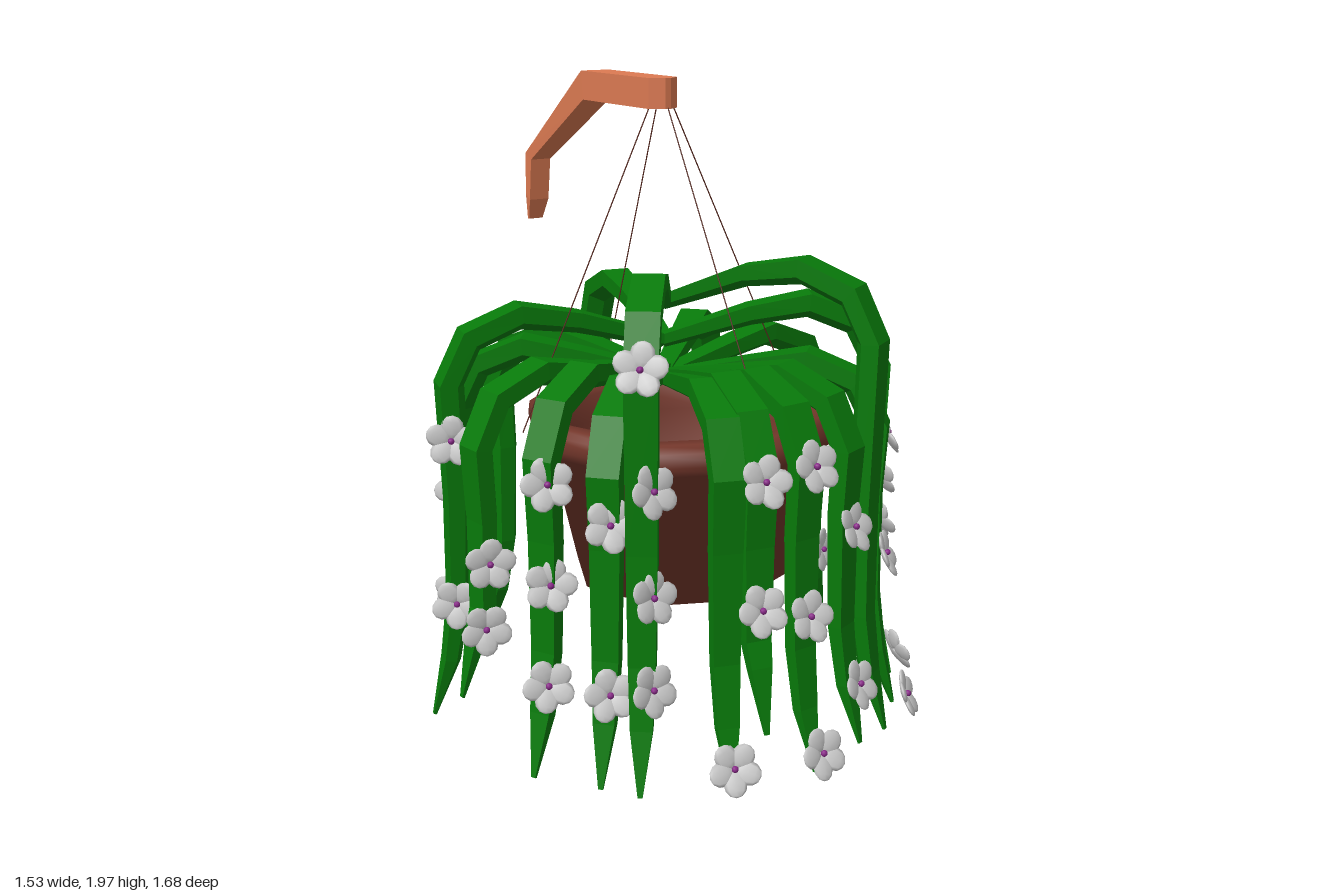
import * as THREE from 'three';
import { toCreasedNormals } from 'three/addons/utils/BufferGeometryUtils.js';

const mat = (color, extra = {}) => new THREE.MeshStandardMaterial({ color, ...extra });
const leafMat = mat(0x087a0a, { flatShading: true });
const hookMat = mat(0xdc7a52, { flatShading: true });
const potMat = mat(0x74372b, { side: THREE.DoubleSide });
const wireMat = mat(0x5a2a20);
const petalMat = mat(0xcccccc);
const centreMat = mat(0x8a2a8a);

function addMesh(parent, name, geometry, material) {
  const mesh = new THREE.Mesh(geometry, material);
  mesh.name = name;
  parent.add(mesh);
  return mesh;
}

// Skin a list of rings (counter-clockwise seen from the far end) and cap both ends
function loft(rings) {
  const n = rings[0].length, last = (rings.length - 1) * n, index = [];
  for (let j = 0; j < rings.length - 1; j++) {
    for (let i = 0; i < n; i++) {
      const a = j * n + i, b = j * n + (i + 1) % n;
      index.push(a, b, b + n, a, b + n, a + n);
    }
  }
  for (let i = 1; i < n - 1; i++) index.push(0, i + 1, i, last, last + i, last + i + 1);
  const geo = new THREE.BufferGeometry();
  geo.setAttribute('position', new THREE.Float32BufferAttribute(rings.flat(2), 3));
  geo.setIndex(index);
  const flat = geo.toNonIndexed();
  flat.computeVertexNormals();
  return flat;
}

// Centre line of a leaf in its own plane, as [radius, height]
const leafPath = (R, peak, tipY) => [
  [0, 1.08 + (peak - 1.2) * 0.8], [0.36 * R, peak - 0.07], [0.6 * R, peak - 0.04],
  [0.8 * R, peak - 0.1], [0.885 * R, peak - 0.23], [0.87 * R, 0.75],
  [0.88 * R, 0.4 + tipY / 3], [0.92 * R, 0.18 + tipY], [R, tipY],
];
const halfWidths = [0.026, 0.038, 0.046, 0.048, 0.047, 0.044, 0.039, 0.032, 0.007];

function leafGeometry(path) {
  return loft(path.map(([r, y], i) => {
    const p = path[Math.max(i - 1, 0)], q = path[Math.min(i + 1, path.length - 1)];
    const len = Math.hypot(q[0] - p[0], q[1] - p[1]);
    const nz = -(q[1] - p[1]) / len, ny = (q[0] - p[0]) / len;
    const w = halfWidths[i], h = w * 0.88;
    // flat top, short sides, shallow keel below
    return [[w, h], [-w, h], [-w, -0.3 * h], [0, -h], [w, -0.3 * h]]
      .map(([s, d]) => [s, y + ny * d, r + nz * d]);
  }));
}

// Radius of the hanging part of a leaf at height y
function radiusAt(path, y) {
  for (let i = 3; i < path.length; i++) {
    const [r0, y0] = path[i - 1], [r1, y1] = path[i];
    if (y <= y0 && y >= y1) return r0 + (r1 - r0) * (y0 - y) / (y0 - y1);
  }
  return path[path.length - 1][0];
}

const petalGeo = new THREE.SphereGeometry(1, 8, 6);
const centreGeo = new THREE.SphereGeometry(0.01, 8, 6);
function makeFlower() {
  const flower = new THREE.Group();
  flower.name = 'flower';
  for (let i = 0; i < 5; i++) {
    const arm = new THREE.Group();
    arm.rotation.z = i * Math.PI * 2 / 5;
    const petal = addMesh(arm, 'petal', petalGeo, petalMat);
    petal.scale.set(0.035, 0.038, 0.009);
    petal.position.set(0, 0.041, 0.007);
    petal.rotation.x = 0.2;
    flower.add(arm);
  }
  addMesh(flower, 'flowerCentre', centreGeo, centreMat).position.z = 0.011;
  return flower;
}

// tip x, tip z, peak height, tip height, flowers as [height, sideways shift, turn]
const leaves = [
  [0.12, -0.69, 1.34, 0.21, [[0.7, 0.055], [0.48, 0.055]]],
  [0.51, -0.49, 1.2, 0.05, [[0.75, -0.05], [0.09, -0.05]]],
  [0.73, -0.1, 1.19, 0.05, [[0.35, -0.05]]],
  [0.66, 0.36, 1.34, 0.05, [[0.88, 0], [0.72, 0.07, 0.4], [0.57, 0.07, 0.4], [0.1, 0.07, 0.3]]],
  [0.53, 0.53, 1.19, 0.05, [[0.55, 0], [0.08, 0]]],
  [0.39, 0.66, 1.49, 0.05, []],
  [0.27, 0.69, 1.19, 0.05, [[0.73, 0], [0.24, 0]]],
  [0.05, 0.76, 1.2, 0.05, [[0.97, 0], [0.52, 0], [0.12, 0]]],
  [-0.12, 0.75, 1.2, 0.21, [[0.95, 0], [0.57, 0]]],
  [-0.23, 0.74, 1.19, 0.05, [[0.14, 0]]],
  [-0.46, 0.62, 1.49, 0.05, [[1.28, 0], [0.94, 0.03], [0.63, 0.03], [0.36, 0.03]]],
  [-0.53, 0.52, 1.19, 0.05, [[0.83, 0.02], [0.33, 0.02]]],
  [-0.66, 0.36, 1.22, 0.05, [[0.93, 0.03], [0.63, 0.03], [0.33, 0.03]]],
  [-0.75, 0.08, 1.2, 0.21, [[0.63, 0.05], [0.43, 0.05]]],
  [-0.74, -0.16, 1.34, 0.05, [[0.95, 0.05], [0.43, 0.05]]],
  [-0.59, -0.42, 1.2, 0.05, [[0.7, 0.05], [0.35, 0.05]]],
  [-0.32, -0.64, 1.2, 0.05, [[0.75, 0.02], [0.38, 0.02]]],
];

export function createModel() {
  const model = new THREE.Group();
  model.name = 'hangingPlant';

  // Eight-sided pot with a rounded rim and a hollow inside
  const profile = [[0, 0.48], [0.335, 0.48], [0.44, 0.91], [0.475, 0.92], [0.49, 0.95], [0.485, 0.99],
    [0.455, 1.01], [0.41, 1.01], [0.38, 0.98], [0.37, 0.9], [0.3, 0.55], [0, 0.55]]
    .map(([x, y]) => new THREE.Vector2(x, y));
  const pot = addMesh(model, 'pot', toCreasedNormals(new THREE.LatheGeometry(profile, 8), 1.4), potMat);
  pot.position.z = 0.1;

  // Bracket: top z, top y, bottom z, bottom y, half width
  const bracket = [
    [0.03, 1.99, 0.03, 1.9, 0.01], [0, 1.99, 0, 1.9, 0.05], [-0.41, 1.99, -0.4, 1.9, 0.05],
    [-0.835, 1.69, -0.795, 1.67, 0.037], [-0.842, 1.55, -0.812, 1.53, 0.036], [-0.85, 1.46, -0.84, 1.46, 0.026],
  ];
  const hook = addMesh(model, 'bracketHook', loft(bracket.map(([tz, ty, bz, by, w]) =>
    [[w, ty, -tz], [-w, ty, -tz], [-w, by, -bz], [w, by, -bz]])), hookMat);
  hook.rotation.y = Math.PI;

  // Four wires from the bracket to the rim
  for (const [x, z] of [[0.49, 0], [-0.49, 0], [0, 0.58], [0, -0.38]]) {
    const from = new THREE.Vector3(x * 0.06, 1.93, z * 0.04 - 0.01);
    const to = new THREE.Vector3(x, 0.97, z);
    addMesh(model, 'wire', new THREE.TubeGeometry(new THREE.LineCurve3(from, to), 1, 0.002, 5), wireMat);
  }

  // Arching leaves with flowers along the hanging part
  for (const [x, z, peak, tipY, blooms] of leaves) {
    const stem = new THREE.Group();
    stem.name = 'floweringLeaf';
    stem.rotation.y = Math.atan2(x, z);
    const path = leafPath(Math.hypot(x, z), peak, tipY);
    addMesh(stem, 'leaf', leafGeometry(path), leafMat);
    blooms.forEach(([y, side, turn = side * 24], i) => {
      const flower = makeFlower();
      flower.position.set(side, y, radiusAt(path, y) + 0.05 * Math.cos(turn));
      flower.rotation.set(-0.4, turn, i * 0.7 + x * 3);
      stem.add(flower);
    });
    model.add(stem);
  }
  return model;
}
